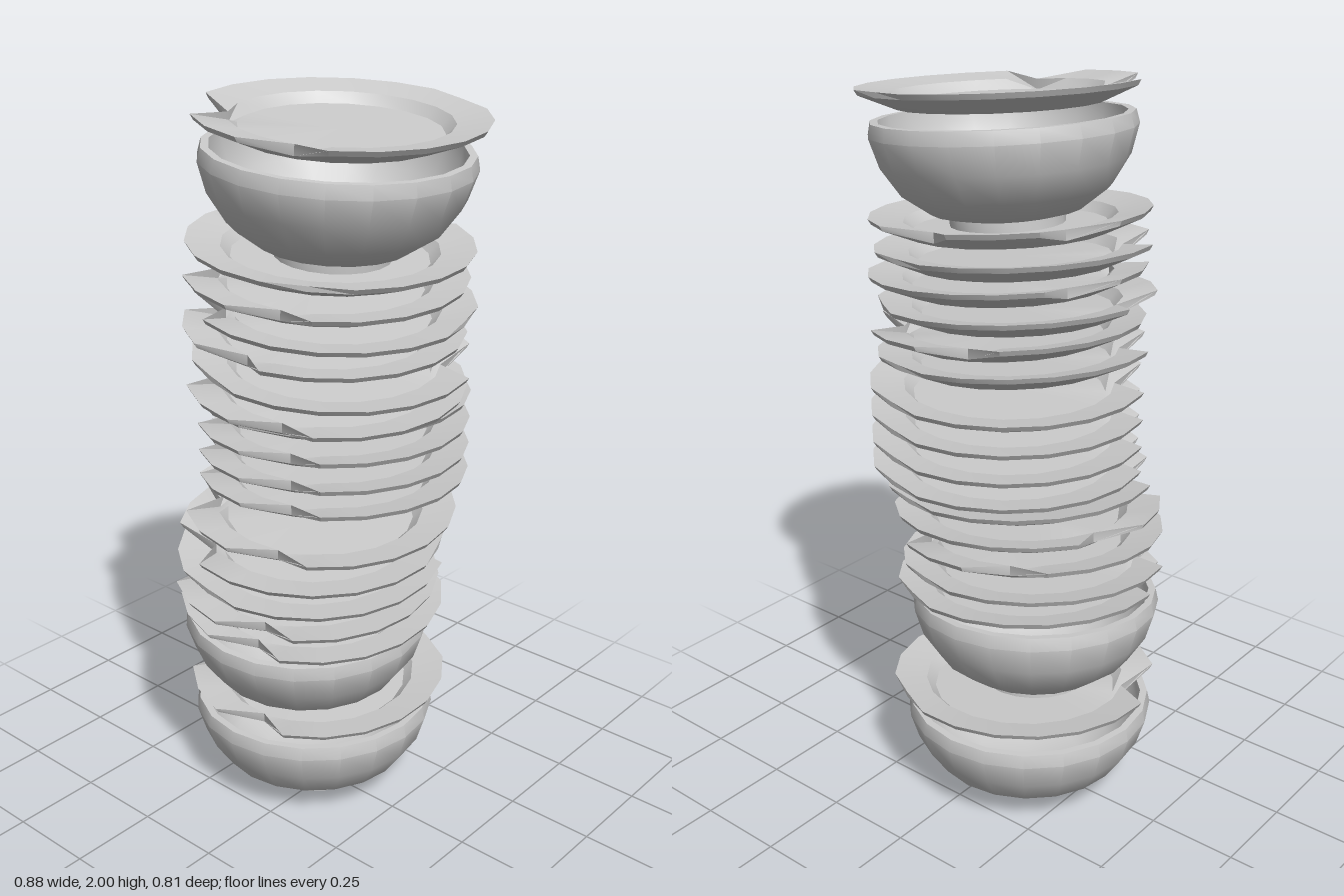
import * as THREE from 'three';
import { toCreasedNormals } from 'three/addons/utils/BufferGeometryUtils.js';

const SIDES = 20;
const material = new THREE.MeshStandardMaterial({ color: 0xcccccc });
const lathe = (profile) => new THREE.LatheGeometry(profile.map(([r, y]) => new THREE.Vector2(r, y)), SIDES);

// Shallow plate with a broad sloping rim and two chips broken out of it
function plateGeometry() {
  const g = lathe([
    [0, 0], [0.265, 0], [0.362, 0.041], [0.37, 0.055],
    [0.28, 0.04], [0.255, 0.014], [0, 0.014],
  ]);
  const p = g.attributes.position;
  const step = (Math.PI * 2) / SIDES;
  for (let i = 0; i < p.count; i++) {
    const x = p.getX(i), z = p.getZ(i), r = Math.hypot(x, z);
    const k = (Math.round(Math.atan2(z, x) / step) + SIDES) % SIDES;
    let limit = 1;
    if (k === 4 || k === 8) limit = 0.278; // chips
    else if (k === 16) limit = 0.355; // slight wear
    if (r > limit) {
      p.setX(i, (x * limit) / r);
      p.setZ(i, (z * limit) / r);
      if (limit < 0.3) p.setY(i, p.getY(i) > 0.05 ? 0.038 : 0.01);
    }
  }
  return toCreasedNormals(g, 0.5);
}

// Deep bowl with a small foot and a thin rim band
function bowlGeometry() {
  return toCreasedNormals(lathe([
    [0, 0.01], [0.13, 0.01], [0.135, 0], [0.152, 0], [0.152, 0.025],
    [0.2, 0.036], [0.275, 0.09], [0.325, 0.165], [0.348, 0.24], [0.34, 0.275],
    [0.32, 0.275], [0.315, 0.235], [0.29, 0.165], [0.235, 0.095], [0.15, 0.045], [0, 0.04],
  ]), 0.6);
}

// Base centre x, y, z, then tilt about x and z, then spin in degrees
const PLATES = [
  [-0.07, 0.29, -0.04, 0.05, -0.03, 10],
  // lower stack
  [-0.04, 0.575, 0.02, 0.06, -0.06, 8],
  [-0.05, 0.64, 0.03, 0.06, -0.06, 0],
  [-0.03, 0.715, 0.035, 0.06, -0.06, 171],
  [-0.02, 0.785, 0.035, 0.06, -0.06, 49],
  [0, 0.865, 0.03, 0.04, -0.06, 0],
  // level middle stack
  [-0.01, 0.95, -0.035, 0, 0, 0],
  [-0.01, 1.02, -0.035, 0, 0, 0],
  [-0.01, 1.095, -0.035, 0, 0, 0],
  [-0.01, 1.17, -0.035, 0, 0, 0],
  // upper stack
  [0.025, 1.23, 0.035, 0.05, -0.08, 0],
  [0.05, 1.3, 0.035, 0.04, -0.08, 180],
  [0.015, 1.375, 0.03, 0.04, -0.08, 20],
  [0.045, 1.445, 0.03, 0.04, -0.08, 55],
  [0.02, 1.515, 0.03, 0.04, -0.08, 0],
  [0.04, 1.595, 0.035, 0.03, -0.08, 130],
  // top plate
  [0.075, 1.915, 0.035, 0.035, -0.08, 0],
];

const BOWLS = [
  [-0.07, 0, -0.02, 0, 0, 0],
  [-0.068, 0.308, 0.01, 0.06, -0.05, 0],
  [0.055, 1.612, 0.04, 0.02, -0.08, 0],
];

export function createModel() {
  const model = new THREE.Group();
  model.name = 'dishStack';

  const stack = (name, geometry, list) => list.forEach(([x, y, z, tiltX, tiltZ, spin], i) => {
    const mesh = new THREE.Mesh(geometry, material);
    mesh.name = name + (i + 1);
    mesh.position.set(x, y, z);
    mesh.rotation.set(tiltX, -THREE.MathUtils.degToRad(spin), tiltZ, 'XZY');
    model.add(mesh);
  });

  stack('plate', plateGeometry(), PLATES);
  stack('bowl', bowlGeometry(), BOWLS);
  return model;
}
